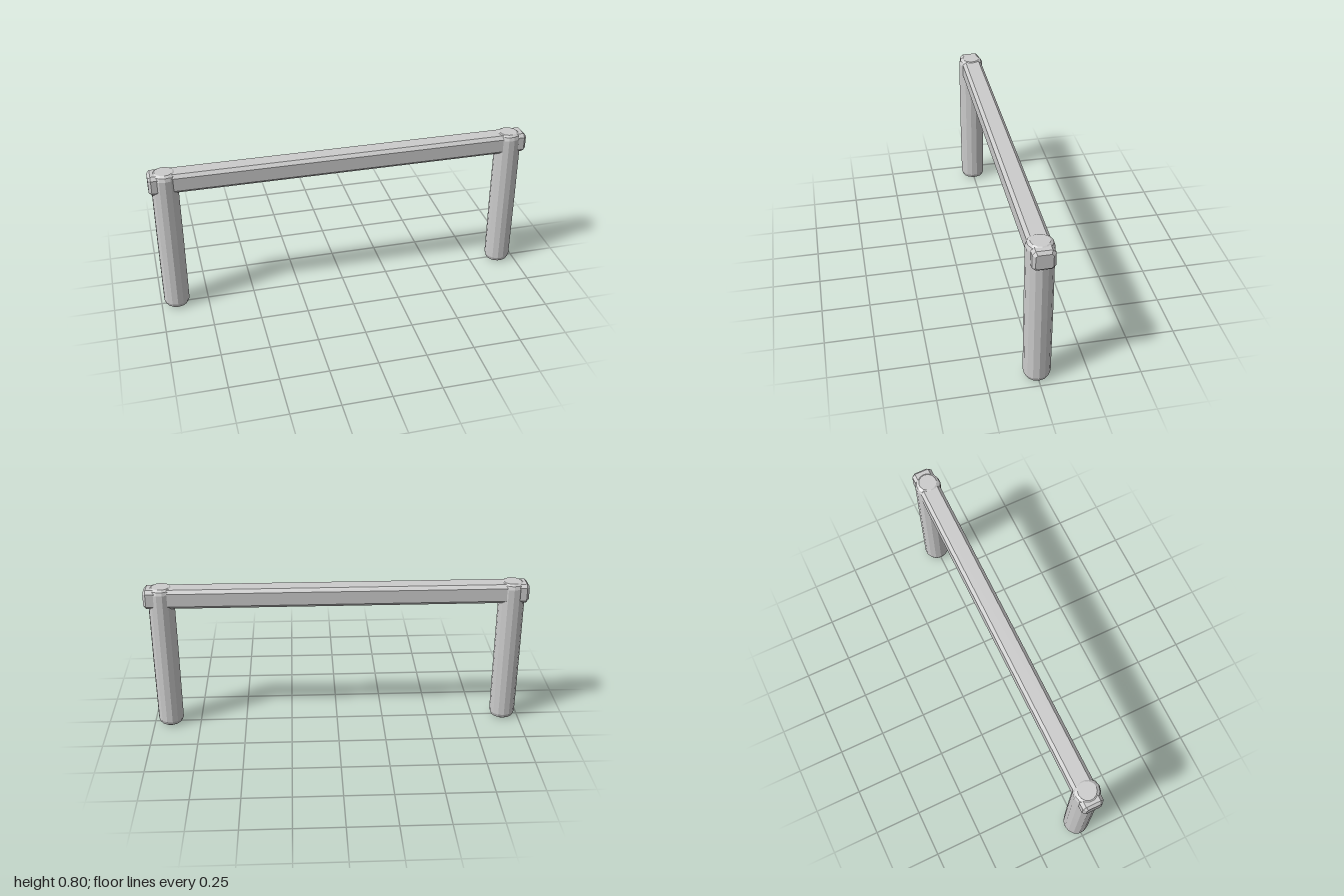
import * as THREE from 'three';

const material = new THREE.MeshStandardMaterial({ color: 0xcccccc, flatShading: true });

// Upright round post with worn, chamfered ends and slightly uneven facets
function makePost(name, x, turn) {
  const profile = [
    [0, 0], [0.048, 0], [0.06, 0.008], [0.068, 0.028],
    [0.069, 0.4], [0.068, 0.775], [0.061, 0.793], [0.047, 0.802], [0, 0.802],
  ].map(([r, y]) => new THREE.Vector2(r, y));
  const geometry = new THREE.LatheGeometry(profile, 14);
  const p = geometry.attributes.position;
  for (let i = 0; i < p.count; i++) {
    const a = Math.atan2(p.getZ(i), p.getX(i));
    const k = 1 + 0.012 * Math.sin(3 * a + turn);
    p.setX(i, p.getX(i) * k);
    p.setZ(i, p.getZ(i) * k);
  }
  const post = new THREE.Mesh(geometry, material);
  post.name = name;
  post.position.x = x;
  post.rotation.y = turn;
  return post;
}

// Horizontal rail: chamfered square section, bevelled at both ends
function makeRail() {
  const w = 0.055, h = 0.052, c = 0.017, bevel = 0.014;
  const section = new THREE.Shape([
    [-w + c, -h], [w - c, -h], [w, -h + c], [w, h - c],
    [w - c, h], [-w + c, h], [-w, h - c], [-w, -h + c],
  ].map(([x, y]) => new THREE.Vector2(x, y)));
  const geometry = new THREE.ExtrudeGeometry(section, {
    depth: 2 - 2 * bevel, bevelEnabled: true, bevelSegments: 1,
    bevelThickness: bevel, bevelSize: bevel, bevelOffset: -bevel,
  });
  geometry.translate(0, 0, -(1 - bevel)).rotateY(Math.PI / 2);
  const rail = new THREE.Mesh(geometry, material);
  rail.name = 'topRail';
  rail.position.set(0, 0.746, -0.002);
  return rail;
}

export function createModel() {
  const group = new THREE.Group();
  group.name = 'postAndRailFrame';
  group.add(makePost('leftPost', 0.912, 0.2), makePost('rightPost', -0.917, 0.9), makeRail());
  return group;
}
